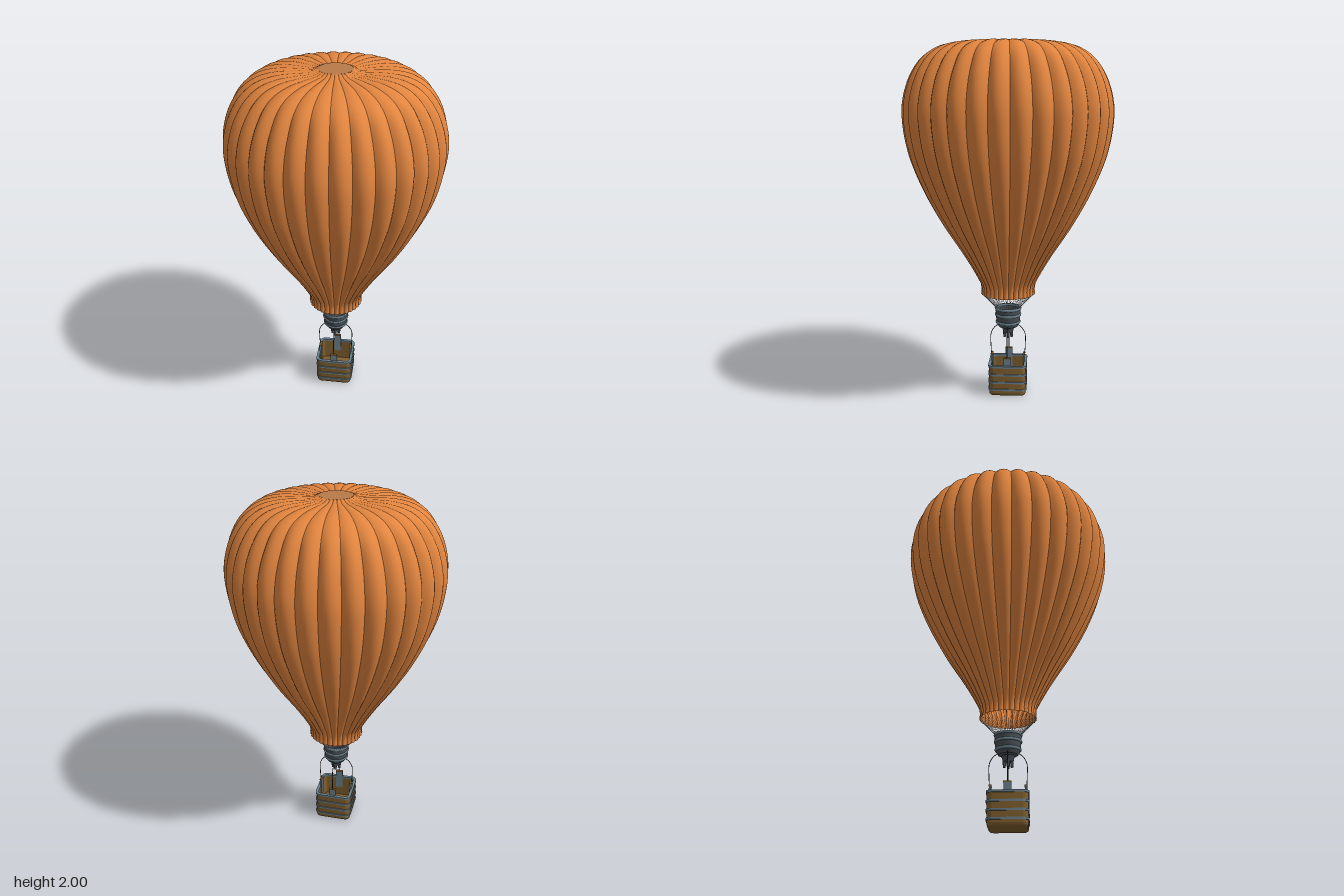
import * as THREE from 'three';
import { toCreasedNormals } from 'three/addons/utils/BufferGeometryUtils.js';

const mat = (color) => new THREE.MeshStandardMaterial({ color, side: THREE.DoubleSide });
const orange = mat(0xe2853f), capOrange = mat(0xb97a48), wicker = mat(0x80602f);
const steel = mat(0x6c828e), dark = mat(0x4a5157), ropeMat = mat(0x3a3530), cord = mat(0xf2f2f2);

const GORES = 32;
const TWIST = THREE.MathUtils.degToRad(-2);      // where the first gore seam sits
const BASKET_TURN = THREE.MathUtils.degToRad(-36);

function add(parent, name, geometry, material, x = 0, y = 0, z = 0) {
  const mesh = new THREE.Mesh(geometry, material);
  mesh.name = name;
  mesh.position.set(x, y, z);
  parent.add(mesh);
  return mesh;
}

function tube(points, radius, segments, sides = 6) {
  const curve = new THREE.CatmullRomCurve3(points.map((p) => new THREE.Vector3(...p)));
  return new THREE.TubeGeometry(curve, segments, radius, sides);
}

function lathe(points, sides) {
  const g = new THREE.LatheGeometry(points.map((p) => new THREE.Vector2(...p)), sides);
  return toCreasedNormals(g, 0.6);
}

// Balloon skin: bulging gores, each its own strip so the seams stay sharp
function envelopeGeometry() {
  const profile = new THREE.CatmullRomCurve3([
    [0.155, 0.59], [0.154, 0.64], [0.18, 0.695], [0.247, 0.81], [0.37, 1.0], [0.477, 1.2],
    [0.552, 1.4], [0.581, 1.6], [0.569, 1.71], [0.53, 1.82], [0.47, 1.905], [0.39, 1.959],
    [0.29, 1.984], [0.19, 1.988], [0.115, 1.989], [0.088, 1.999],
  ].map(([r, y]) => new THREE.Vector3(r, y, 0)), false, 'centripetal');
  const rows = 60, cols = 8;
  const rings = profile.getSpacedPoints(rows);
  const pos = [], index = [];
  for (let g = 0; g < GORES; g++) {
    const base = pos.length / 3;
    rings.forEach(({ x: r, y }, i) => {
      // seams sink along the profile normal, less so on the crown
      const tangent = profile.getTangentAt(i / rows);
      const depth = 0.05 * r * (1 - 0.6 * THREE.MathUtils.smoothstep(y, 1.85, 1.985));
      for (let j = 0; j <= cols; j++) {
        const t = (2 * j) / cols - 1;
        const a = TWIST + ((g + j / cols) * 2 * Math.PI) / GORES;
        const rr = r - depth * t * t * tangent.y;
        pos.push(rr * Math.cos(a), y + depth * t * t * tangent.x, rr * Math.sin(a));
      }
    });
    for (let i = 0; i < rows; i++) {
      for (let j = 0; j < cols; j++) {
        const a = base + i * (cols + 1) + j, b = a + cols + 1;
        index.push(a, b, a + 1, b, b + 1, a + 1);
      }
    }
  }
  const geo = new THREE.BufferGeometry();
  geo.setAttribute('position', new THREE.Float32BufferAttribute(pos, 3));
  geo.setIndex(index);
  geo.computeVertexNormals();
  return geo;
}

function roundedSquare(half, r, Type = THREE.Shape) {
  const s = new Type(), k = half - r;
  [[k, k, 0], [-k, k, 1], [-k, -k, 2], [k, -k, 3]].forEach(([x, y, q]) =>
    s.absarc(x, y, r, (q * Math.PI) / 2, ((q + 1) * Math.PI) / 2, false));
  s.closePath();
  return s;
}

// Upright rounded-square slab, or a ring when an inner half-width is given
function squareSlab(half, height, inner, r, bevel = 0) {
  const shape = roundedSquare(half - bevel, r - bevel);
  if (inner) shape.holes.push(roundedSquare(inner, r - (half - inner), THREE.Path));
  const g = new THREE.ExtrudeGeometry(shape, {
    depth: height - 2 * bevel, curveSegments: 8, bevelEnabled: bevel > 0,
    bevelSize: bevel, bevelThickness: bevel, bevelSegments: 4,
  });
  g.rotateX(-Math.PI / 2);
  g.translate(0, bevel, 0);
  return toCreasedNormals(g, 0.6);
}

function buildBasket() {
  const basket = new THREE.Group();
  basket.name = 'basket';
  basket.rotation.y = BASKET_TURN;
  add(basket, 'basketFloor', squareSlab(0.105, 0.04, 0, 0.03, 0.018), wicker, 0, 0.003, 0);
  add(basket, 'basketWalls', squareSlab(0.105, 0.155, 0.094, 0.03), wicker, 0, 0.023, 0);
  [0.036, 0.08, 0.125].forEach((y) =>
    add(basket, 'basketBand', squareSlab(0.11, 0.011, 0.1, 0.034), steel, 0, y, 0));
  add(basket, 'basketRim', squareSlab(0.11, 0.012, 0.093, 0.034), steel, 0, 0.172, 0);

  // One upright bracket and rope at the middle of each side
  for (let i = 0; i < 4; i++) {
    const side = new THREE.Group();
    side.name = 'suspension';
    side.rotation.y = (i * Math.PI) / 2;
    add(side, 'ropeBracket', new THREE.BoxGeometry(0.04, 0.12, 0.012), steel, 0, 0.164, 0.093);
    add(side, 'bracketCap', new THREE.BoxGeometry(0.042, 0.006, 0.014), wicker, 0, 0.227, 0.093);
    add(side, 'basketRope', tube([
      [0, 0.2, 0.095], [0, 0.28, 0.1], [0, 0.345, 0.099], [0, 0.382, 0.08], [0, 0.405, 0.05],
    ], 0.0022, 20), ropeMat);
    basket.add(side);
  }
  return basket;
}

function buildBurner() {
  const burner = new THREE.Group();
  burner.name = 'burner';
  // Open-topped drum
  add(burner, 'burnerDrum', lathe([
    [0, 0.355], [0.026, 0.355], [0.036, 0.385], [0.054, 0.392], [0.066, 0.415], [0.07, 0.45],
    [0.073, 0.508], [0.063, 0.508], [0.06, 0.43], [0, 0.43],
  ], 32), dark);
  [[0.069, 0.501], [0.068, 0.464], [0.064, 0.42]].forEach(([r, y]) => {
    const band = add(burner, 'burnerBand', new THREE.TorusGeometry(r, 0.0085, 8, 36), steel, 0, y, 0);
    band.rotation.x = Math.PI / 2;
  });
  // Nozzles below the drum
  for (let i = 0; i < 4; i++) {
    const a = BASKET_TURN + (i * Math.PI) / 2;
    add(burner, 'burnerNozzle', new THREE.CylinderGeometry(0.012, 0.007, 0.065, 10), dark,
      0.02 * Math.sin(a), 0.358, 0.02 * Math.cos(a));
  }
  return burner;
}

export function createModel() {
  const model = new THREE.Group();
  model.name = 'hotAirBalloon';

  add(model, 'envelope', envelopeGeometry(), orange);
  const cap = add(model, 'crownCap', new THREE.CircleGeometry(0.088, 64), capOrange, 0, 1.999, 0);
  cap.rotation.x = -Math.PI / 2;

  // Fine cords from the mouth of the envelope down to the burner
  const cords = new THREE.Group();
  cords.name = 'mouthCords';
  for (let i = 0; i < 2 * GORES; i++) {
    const a = TWIST + (i * Math.PI) / GORES, c = Math.cos(a), s = Math.sin(a);
    add(cords, 'mouthCord', tube([
      [0.15 * c, 0.592, 0.15 * s], [0.072 * c, 0.508, 0.072 * s],
    ], 0.0009, 1, 4), cord);
  }
  model.add(cords);

  model.add(buildBurner(), buildBasket());
  return model;
}
